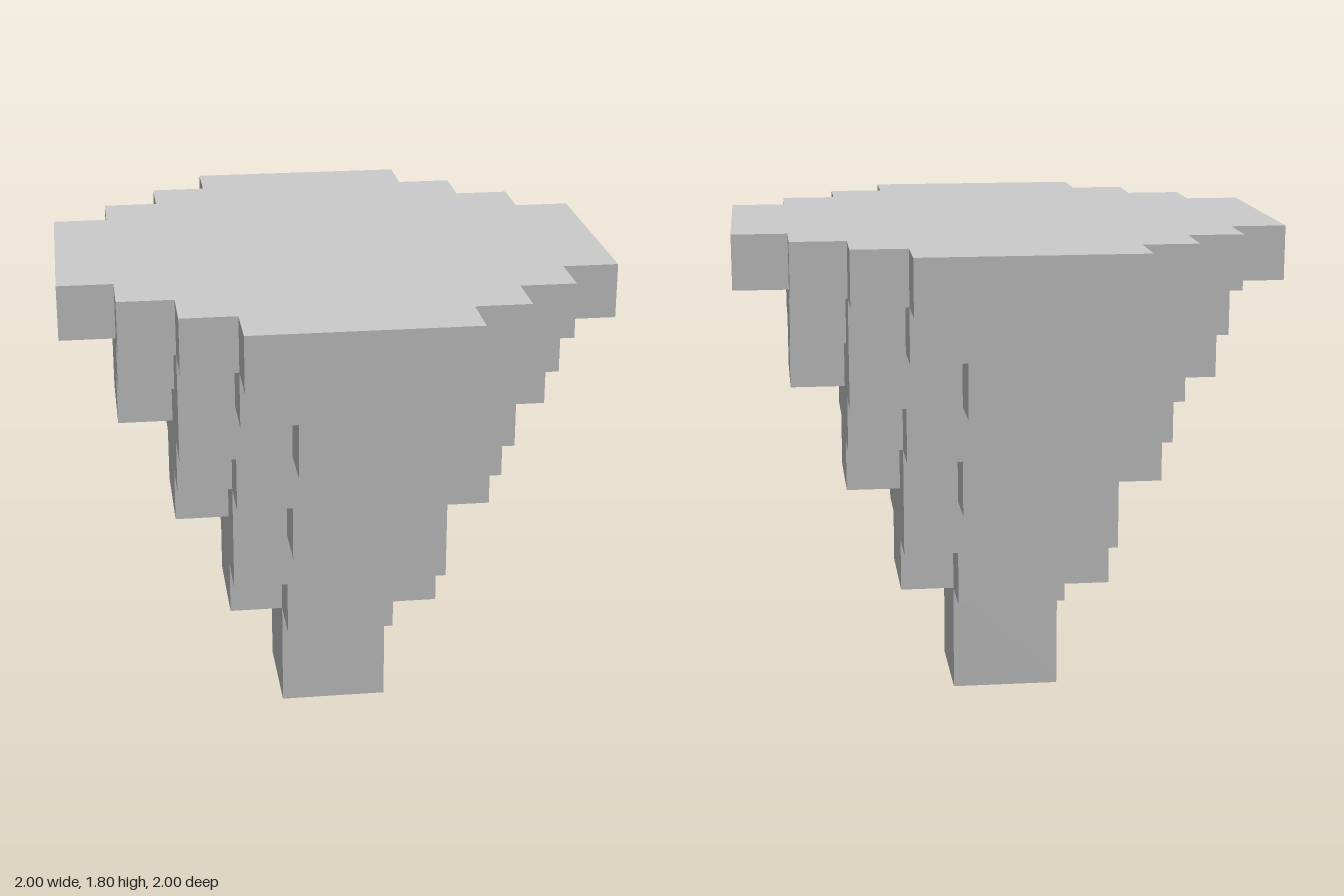
import * as THREE from 'three';

const UNIT = 0.2;

// Layers from the ground up: height in blocks, then the half-width of each
// row of blocks going outward from the centre line.
const LAYERS = [
  { name: 'stem', height: 2, rows: [1] },
  { name: 'lowerCross', height: 1, rows: [2, 1] },
  { name: 'lowerSquare', height: 1, rows: [2, 2] },
  { name: 'middleCross', height: 1, rows: [3, 2, 1] },
  { name: 'middleDisc', height: 1, rows: [3, 3, 2] },
  { name: 'upperCross', height: 1, rows: [4, 3, 3, 1] },
  { name: 'upperDisc', height: 1, rows: [4, 4, 3, 2] },
  { name: 'topDisc', height: 1, rows: [5, 5, 4, 3, 2] },
];

// Stepped outline: one quadrant's corners, turned four times about the centre.
function steppedShape(rows) {
  const corners = [];
  rows.forEach((w, i) => {
    if (i > 0 && w !== rows[i - 1]) corners.push([w, i]);
    if (w !== rows[i + 1]) corners.push([w, i + 1]);
  });
  const points = [];
  for (let q = 0; q < 4; q++) {
    for (const [a, b] of corners) {
      const [x, y] = [[a, b], [-b, a], [-a, -b], [b, -a]][q];
      points.push(new THREE.Vector2(x * UNIT, y * UNIT));
    }
  }
  return new THREE.Shape(points);
}

export function createModel() {
  const model = new THREE.Group();
  model.name = 'blockCone';
  const grey = new THREE.MeshStandardMaterial({ color: 0xcccccc });
  grey.name = 'light grey';

  let y = 0;
  for (const { name, height, rows } of LAYERS) {
    const geometry = new THREE.ExtrudeGeometry(steppedShape(rows), {
      depth: height * UNIT,
      bevelEnabled: false,
    });
    geometry.rotateX(-Math.PI / 2); // lay the outline flat, thickness upward
    const layer = new THREE.Mesh(geometry, grey);
    layer.name = name;
    layer.position.y = y;
    model.add(layer);
    y += height * UNIT;
  }
  return model;
}
